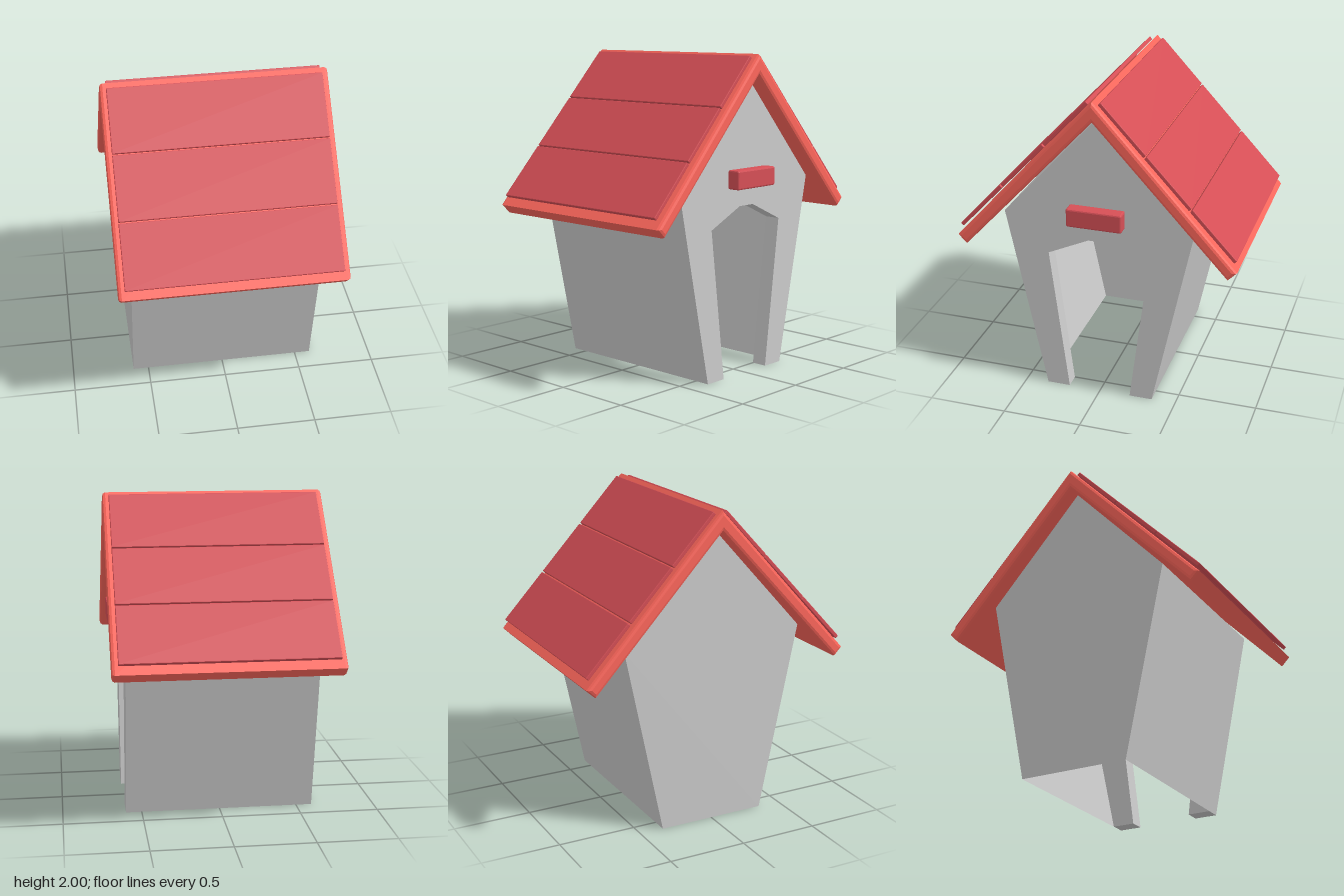
import * as THREE from 'three';
import { RoundedBoxGeometry } from 'three/addons/geometries/RoundedBoxGeometry.js';

const paint = (color) => new THREE.MeshStandardMaterial({ color, flatShading: true, side: THREE.DoubleSide });

// Mirrors a half outline of [z, y] points into a closed, symmetric shape
function mirrored(half) {
  const other = half.map(([z, y]) => [-z, y]).reverse().filter(([z]) => z !== 0);
  return new THREE.Shape([...half, ...other].map(([z, y]) => new THREE.Vector2(z, y)));
}

// Extrudes a z-y shape along x, from x0 to x1, with an optional bevel kept inside the outline
function extrudeX(shape, x0, x1, bevel = 0) {
  const geometry = new THREE.ExtrudeGeometry(shape, {
    depth: x1 - x0 - 2 * bevel,
    bevelEnabled: bevel > 0,
    bevelThickness: bevel,
    bevelSize: bevel,
    bevelOffset: -bevel,
    bevelSegments: 2,
  });
  return geometry.rotateY(Math.PI / 2).translate(x0 + bevel, 0, 0);
}

export function createModel() {
  const model = new THREE.Group();
  model.name = 'doghouse';
  const house = new THREE.Group();
  house.name = 'house';
  house.position.z = 0.004;
  model.add(house);

  const grey = paint(0xcccccc);
  const roofRed = paint(0xff675c);
  const plankRed = paint(0xd64f56);

  const add = (name, geometry, material, parent = house) => {
    const mesh = new THREE.Mesh(geometry, material);
    mesh.name = name;
    parent.add(mesh);
    return mesh;
  };

  const wall = [[0.35, 0], [0.603, 1.2], [0, 1.865]];

  // Thick door wall, its outline notched by the doorway
  const doorway = [[0.062, 1.07], [0.322, 0.95], [0.203, 0]];
  add('doorWall', extrudeX(mirrored([...doorway, ...wall]), 0.5, 0.6), grey);

  // Thin rear wall
  add('rearWall', new THREE.ShapeGeometry(mirrored(wall)).rotateY(-Math.PI / 2).translate(-0.6, 0, 0), grey);

  // Thin side walls and ceiling slopes, open underneath
  const outline = [...wall, [-0.603, 1.2], [-0.35, 0]];
  const shell = [];
  for (let i = 0; i < outline.length - 1; i++) {
    const [[za, ya], [zb, yb]] = [outline[i], outline[i + 1]];
    const a = [-0.6, ya, za], b = [0.5, ya, za], c = [0.5, yb, zb], d = [-0.6, yb, zb];
    shell.push(...a, ...b, ...c, ...a, ...c, ...d);
  }
  const shellGeometry = new THREE.BufferGeometry();
  shellGeometry.setAttribute('position', new THREE.Float32BufferAttribute(shell, 3));
  shellGeometry.computeVertexNormals();
  add('sideWalls', shellGeometry, grey);

  // Bevelled roof chevron
  const chevron = new THREE.Shape([
    [0, 1.875], [0.83, 0.98], [0.885, 1.035], [0, 2], [-0.885, 1.035], [-0.83, 0.98],
  ].map(([z, y]) => new THREE.Vector2(z, y)));
  add('roof', extrudeX(chevron, -0.7, 0.7, 0.02), roofRed);

  // Three planks down each slope
  const top = new THREE.Vector2(0.043, 1.995);
  const bottom = new THREE.Vector2(0.88, 1.097);
  const run = bottom.clone().sub(top);
  const length = run.length();
  const thickness = 0.024;
  const normal = new THREE.Vector2(-run.y, run.x).divideScalar(length);
  for (const side of ['front', 'back']) {
    const slope = new THREE.Group();
    slope.name = side + 'Planks';
    slope.rotation.y = side === 'front' ? 0 : Math.PI;
    for (let i = 0; i < 3; i++) {
      const plank = add('plank', new RoundedBoxGeometry(1.32, thickness, length / 3 - 0.008, 1, 0.004), plankRed, slope);
      const centre = top.clone().addScaledVector(run, (i + 0.5) / 3).addScaledVector(normal, -thickness / 2);
      plank.position.set(0, centre.y, centre.x);
      plank.rotation.x = Math.atan2(-run.y, run.x);
    }
    house.add(slope);
  }

  // Plain sign board above the doorway
  add('signBoard', new RoundedBoxGeometry(0.085, 0.118, 0.35, 1, 0.01), plankRed).position.set(0.6425, 1.245, 0);

  return model;
}
